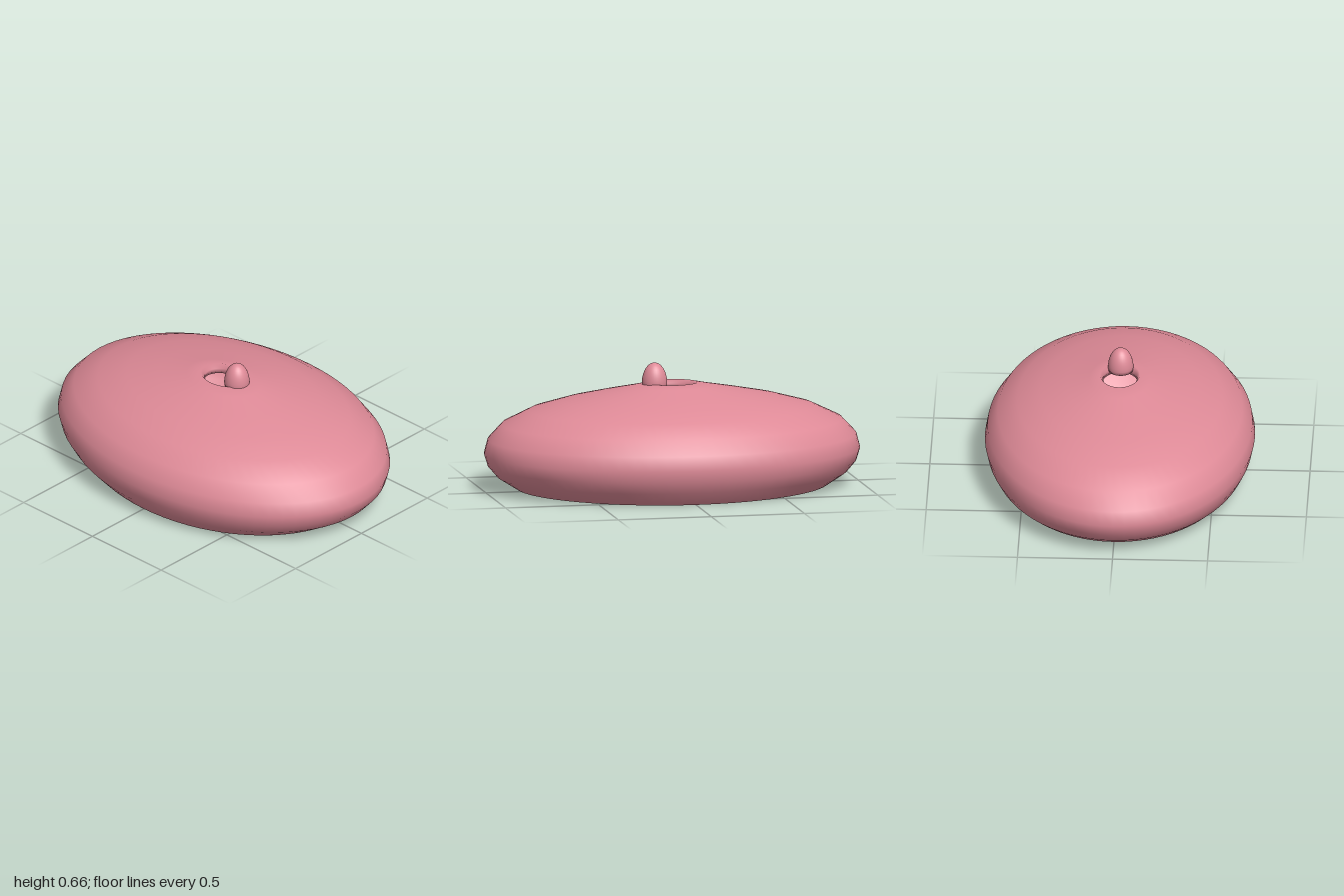
import * as THREE from 'three';
import { mergeVertices } from 'three/addons/utils/BufferGeometryUtils.js';

// Outer half-section [half width, height], from the brim opening up to the crown hole
const outer = [
  [0.83, 0], [0.93, 0.07], [0.98, 0.13], [1, 0.195], [0.98, 0.27], [0.905, 0.35],
  [0.76, 0.42], [0.585, 0.468], [0.4, 0.505], [0.225, 0.537], [0.135, 0.555],
];
// Hole wall, then the lining back down to the opening
const lining = [
  [0.112, 0.535], [0.118, 0.505], [0.225, 0.507], [0.4, 0.48], [0.585, 0.442], [0.75, 0.395],
  [0.885, 0.33], [0.955, 0.26], [0.97, 0.195], [0.952, 0.135], [0.905, 0.08], [0.805, 0.008],
];

// Weld the seam so the normals run smoothly all the way round
function smooth(geometry) {
  geometry.deleteAttribute('uv');
  geometry.deleteAttribute('normal');
  const welded = mergeVertices(geometry, 1e-4);
  welded.computeVertexNormals();
  return welded;
}

// Oval hollow cap: a revolved section narrowed from front to back
function capGeometry() {
  const points = [...outer, ...lining, outer[0]].map(([r, y]) => new THREE.Vector2(r, y));
  const geometry = new THREE.LatheGeometry(points, 72);
  const pos = geometry.attributes.position;
  for (let i = 0; i < pos.count; i++) {
    const x = pos.getX(i), y = pos.getY(i), z = pos.getZ(i);
    const r = Math.hypot(x, z);
    const low = Math.max(0, 1 - y / 0.1);
    const hole = Math.max(0, 1 - Math.max(0, r - 0.11) / 0.06);
    // the brim lifts slightly at the two sides
    pos.setY(i, y + 0.01 * low * (x / r) ** 2);
    pos.setZ(i, z * (0.71 + 0.025 * low + 0.09 * hole));
  }
  return smooth(geometry);
}

export function createModel() {
  const group = new THREE.Group();
  group.name = 'beret';
  const felt = new THREE.MeshStandardMaterial({ color: 0xde8a97 });
  felt.name = 'pinkFelt';

  const cap = new THREE.Mesh(capGeometry(), felt);
  cap.name = 'cap';
  group.add(cap);

  // Domed stalk on the left edge of the crown hole, with a flat underside
  const dome = [new THREE.Vector2(0, -0.02), new THREE.Vector2(0.064, -0.02)];
  for (let i = 0; i <= 10; i++) {
    const a = (i / 10) * Math.PI / 2;
    dome.push(new THREE.Vector2(i === 10 ? 0 : 0.067 * Math.cos(a), 0.11 * Math.sin(a)));
  }
  const stalk = new THREE.Mesh(new THREE.LatheGeometry(dome, 32), felt);
  stalk.name = 'stalk';
  stalk.position.set(0.094, 0.553, 0);
  group.add(stalk);

  return group;
}
